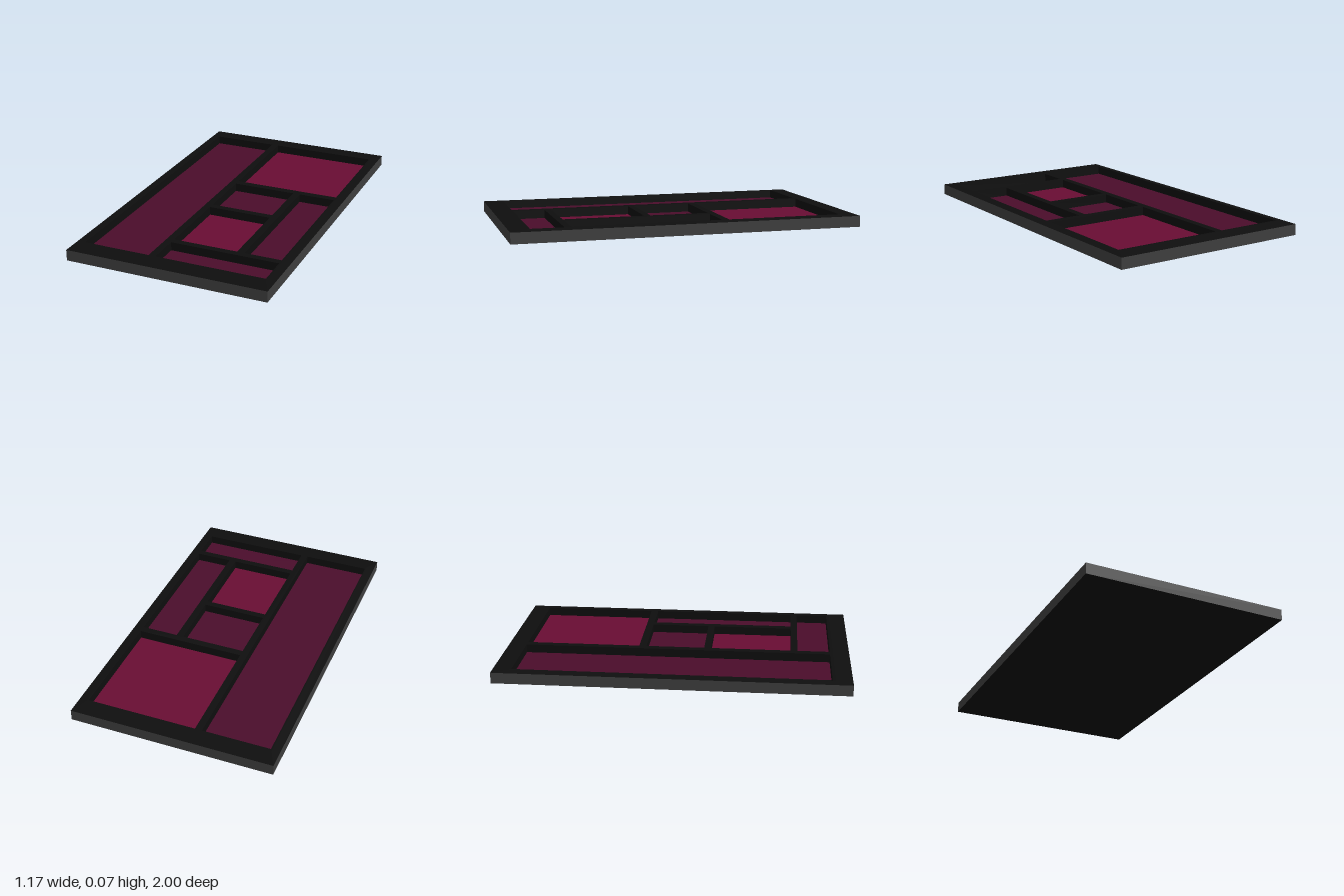
import * as THREE from 'three';

const W = 0.585, L = 1;            // half width and half length of the tray
const IW = 0.54, IL = 0.905;       // half size of the flat raised lattice
const EDGE_Y = 0.063, TOP_Y = 0.069, FLOOR_Y = 0.02;

const flat = (name, color) => {
  const m = new THREE.MeshStandardMaterial({ color });
  m.name = name;
  return m;
};

// Four-sided band joining a lower rectangle to an upper one
function band(w0, l0, y0, w1, l1, y1) {
  const ring = (w, l, y) => [[-w, y, l], [w, y, l], [w, y, -l], [-w, y, -l]];
  const a = ring(w0, l0, y0), b = ring(w1, l1, y1);
  const pos = [];
  for (let i = 0; i < 4; i++) {
    const j = (i + 1) % 4;
    pos.push(...a[i], ...a[j], ...b[j], ...a[i], ...b[j], ...b[i]);
  }
  const g = new THREE.BufferGeometry();
  g.setAttribute('position', new THREE.Float32BufferAttribute(pos, 3));
  g.computeVertexNormals();
  return g;
}

// Rectangle outline in x and z, for use in a shape laid flat
function outline(target, x0, x1, z0, z1) {
  target.moveTo(x0, -z1);
  target.lineTo(x1, -z1);
  target.lineTo(x1, -z0);
  target.lineTo(x0, -z0);
  target.closePath();
  return target;
}

export function createModel() {
  const black = flat('frame black', 0x0e0e0e);
  const grey = flat('side grey', 0x3e3e3e);
  const plum = flat('dark plum', 0x4b0d2b);
  const crimson = flat('crimson', 0x680d33);

  const group = new THREE.Group();
  const add = (name, geometry, material) => {
    const mesh = new THREE.Mesh(geometry, material);
    mesh.name = name;
    group.add(mesh);
    return mesh;
  };

  // Compartments: name, x range, z range, colour
  const cells = [
    ['longPanel', -0.533, -0.144, -0.893, 0.888, plum],
    ['largePanel', -0.103, 0.53, -0.893, -0.227, crimson],
    ['smallPanel', -0.103, 0.273, -0.185, 0.157, plum],
    ['squarePanel', -0.103, 0.273, 0.195, 0.664, crimson],
    ['tallPanel', 0.315, 0.53, -0.185, 0.664, plum],
    ['frontPanel', -0.103, 0.53, 0.702, 0.888, plum],
  ];

  // Outer walls, gently sloping rim and underside
  add('outerWalls', band(W, L, 0, W, L, EDGE_Y), grey);
  add('slopedRim', band(W, L, EDGE_Y, IW, IL, TOP_Y), black);
  add('underside', new THREE.PlaneGeometry(2 * W, 2 * L).rotateX(Math.PI / 2), black);

  // Lattice with a deep opening for each compartment
  const shape = outline(new THREE.Shape(), -IW, IW, -IL, IL);
  for (const [, ...c] of cells) shape.holes.push(outline(new THREE.Path(), ...c));
  const lattice = new THREE.ExtrudeGeometry(shape, { depth: TOP_Y - 0.01, bevelEnabled: false });
  add('lattice', lattice.rotateX(-Math.PI / 2).translate(0, 0.01, 0), black);

  // Coloured compartment floors
  for (const [name, x0, x1, z0, z1, material] of cells) {
    const floor = add(name, new THREE.BoxGeometry(x1 - x0, 0.008, z1 - z0), material);
    floor.position.set((x0 + x1) / 2, FLOOR_Y - 0.004, (z0 + z1) / 2);
  }

  return group;
}
